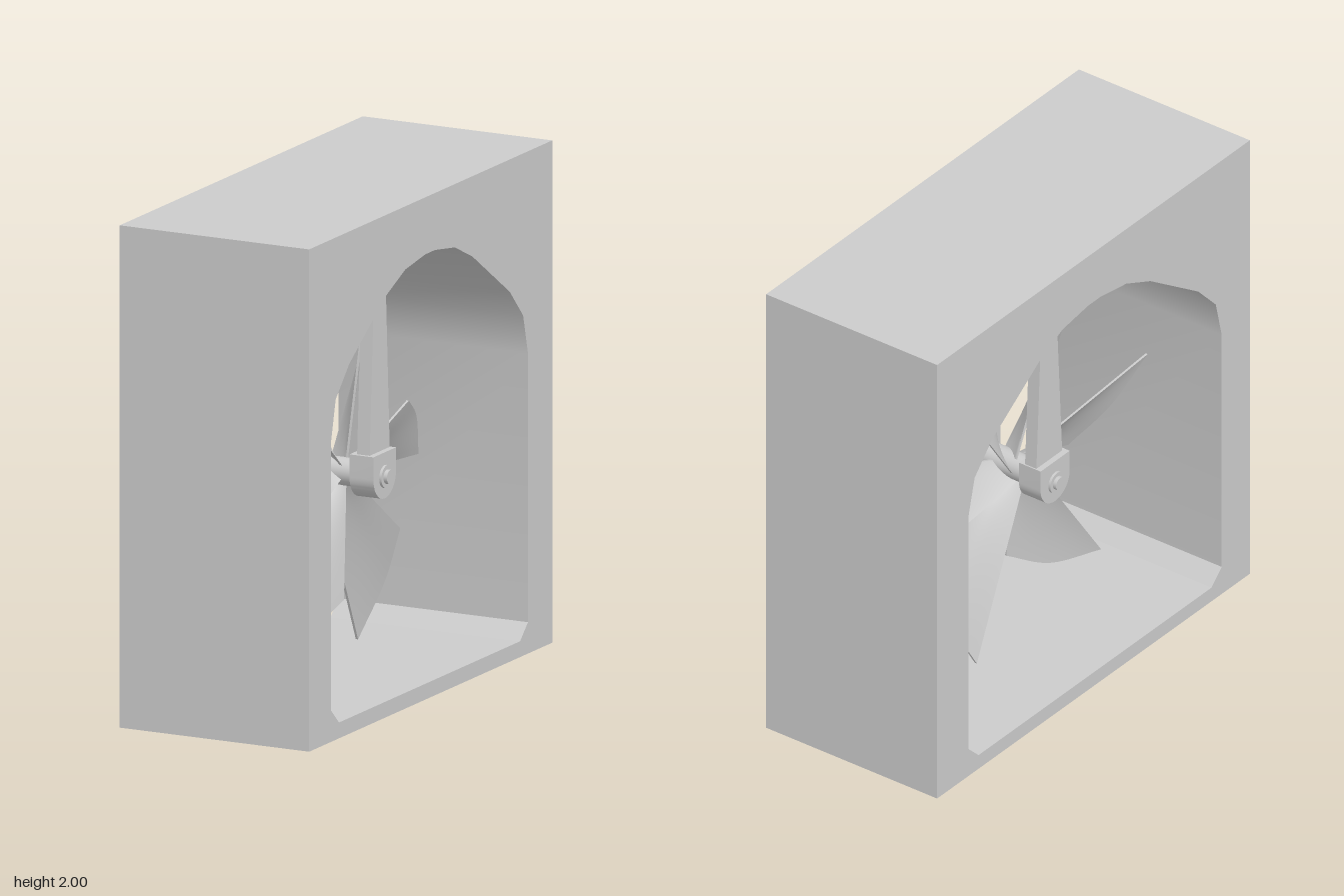
import * as THREE from 'three';
import { toCreasedNormals } from 'three/addons/utils/BufferGeometryUtils.js';

const HUB_Y = 0.86, HUB_Z = 0.013;
const material = new THREE.MeshStandardMaterial({ color: 0xcccccc });
const lerp = THREE.MathUtils.lerp;

function addMesh(parent, name, geometry) {
  const mesh = new THREE.Mesh(geometry, material);
  mesh.name = name;
  parent.add(mesh);
  return mesh;
}

// Side profile (horizontal = -z, vertical = y) extruded along x from x0 to x1
function sideExtrude(shape, x0, x1) {
  const geo = new THREE.ExtrudeGeometry(shape, { depth: x1 - x0, bevelEnabled: false, curveSegments: 16 });
  geo.translate(0, 0, x0);
  geo.rotateY(Math.PI / 2);
  return toCreasedNormals(geo, 0.7);
}

const toShape = (pts) => new THREE.Shape(pts.map(([a, b]) => new THREE.Vector2(a, b)));

// Cylinder along x
function axle(radius, x0, x1) {
  const geo = new THREE.CylinderGeometry(radius, radius, x1 - x0, 24);
  geo.rotateZ(Math.PI / 2);
  geo.translate((x0 + x1) / 2, 0, 0);
  return geo;
}

// Thin twisted blade: closed cross-sections lofted from root to curved rim
function bladeGeometry() {
  const rim = new THREE.CatmullRomCurve3([
    new THREE.Vector3(0.075, 0.185, -0.463),
    new THREE.Vector3(0.01, 0.074, -0.648),
    new THREE.Vector3(-0.06, -0.115, -0.795),
  ]);
  const rootA = new THREE.Vector3(0.05, 0.012, -0.03);
  const rootB = new THREE.Vector3(-0.05, -0.048, -0.03);
  const nS = 12, nT = 12, half = 0.005, ring = 2 * (nT + 1);
  const pos = [], idx = [];
  for (let i = 0; i <= nS + 1; i++) {
    const s = Math.min(i / nS, 1);
    const h = i > nS ? 0 : half; // last ring closes the rim
    for (let k = 0; k < ring; k++) {
      const back = k > nT;
      const t = (back ? ring - 1 - k : k) / nT;
      const p = rootA.clone().lerp(rootB, t).lerp(rim.getPoint(t), s);
      const sag = 0.035 * Math.sin(Math.PI * t) * s * (1 - s); // slight camber
      pos.push(p.x + sag + (back ? -h : h), p.y, p.z);
    }
  }
  for (let i = 0; i <= nS; i++) {
    for (let k = 0; k < ring; k++) {
      const a = i * ring + k, b = i * ring + (k + 1) % ring;
      idx.push(a, b, a + ring, b, b + ring, a + ring);
    }
  }
  const geo = new THREE.BufferGeometry();
  geo.setAttribute('position', new THREE.Float32BufferAttribute(pos, 3));
  geo.setIndex(idx);
  // Turn the shell outward if its signed volume is negative
  let volume = 0;
  const v = (i) => new THREE.Vector3().fromArray(pos, 3 * i);
  for (let i = 0; i < idx.length; i += 3) volume += v(idx[i]).dot(v(idx[i + 1]).cross(v(idx[i + 2])));
  if (volume < 0) geo.setIndex(idx.reverse());
  return toCreasedNormals(geo, 0.7);
}

export function createModel() {
  const model = new THREE.Group();
  model.name = 'ductFan';

  // Square housing with an arched tunnel
  const frame = toShape([[-1, 0], [1, 0], [1, 2], [-1, 2]]);
  frame.holes.push(new THREE.Path([
    [-0.82, 0.125], [-0.82, 1.195], [-0.782, 1.355], [-0.67, 1.473], [-0.364, 1.68], [-0.21, 1.748],
    [-0.045, 1.773], [0.035, 1.773], [0.198, 1.748], [0.343, 1.68], [0.65, 1.473], [0.76, 1.355],
    [0.8, 1.195], [0.8, 0.125], [0.735, 0.063], [-0.755, 0.063],
  ].map(([a, b]) => new THREE.Vector2(a, b))));
  addMesh(model, 'housing', sideExtrude(frame, -0.415, 0.415));

  // Hanging struts with bearing blocks, one on each side of the fan
  const strut = toShape([[-0.09, 0.94], [0.076, 0.94], [0.035, 1.775], [-0.045, 1.775]]);
  const block = new THREE.Shape();
  block.moveTo(-0.105, 0.955);
  block.lineTo(-0.105, 0.865);
  block.absarc(-0.012, 0.865, 0.093, Math.PI, 2 * Math.PI, false);
  block.lineTo(0.081, 0.955);
  const pair = (inner, outer, side) => side > 0 ? [inner, outer] : [-outer, -inner];
  for (const side of [1, -1]) {
    const name = side > 0 ? 'left' : 'right';
    addMesh(model, name + 'Strut', sideExtrude(strut, ...pair(0.14, 0.195, side)));
    addMesh(model, name + 'Bearing', sideExtrude(block, ...pair(0.115, 0.22, side)));
    const washer = addMesh(model, name + 'Washer', axle(0.045, ...pair(0.21, 0.23, side)));
    washer.position.set(0, HUB_Y, HUB_Z);
  }

  // Bar joining the struts near the ceiling
  addMesh(model, 'crossBar', new THREE.BoxGeometry(0.3, 0.045, 0.045)).position.set(0, 1.685, 0.005);

  // Rotor: axle, hub and six blades
  const rotor = new THREE.Group();
  rotor.name = 'rotor';
  rotor.position.set(0, HUB_Y, HUB_Z);
  addMesh(rotor, 'axle', axle(0.028, -0.245, 0.245));
  addMesh(rotor, 'hub', axle(0.055, -0.12, 0.12));
  const blade = bladeGeometry();
  for (let i = 0; i < 6; i++) {
    addMesh(rotor, 'blade', blade).rotation.x = i * Math.PI / 3;
  }
  model.add(rotor);
  return model;
}
